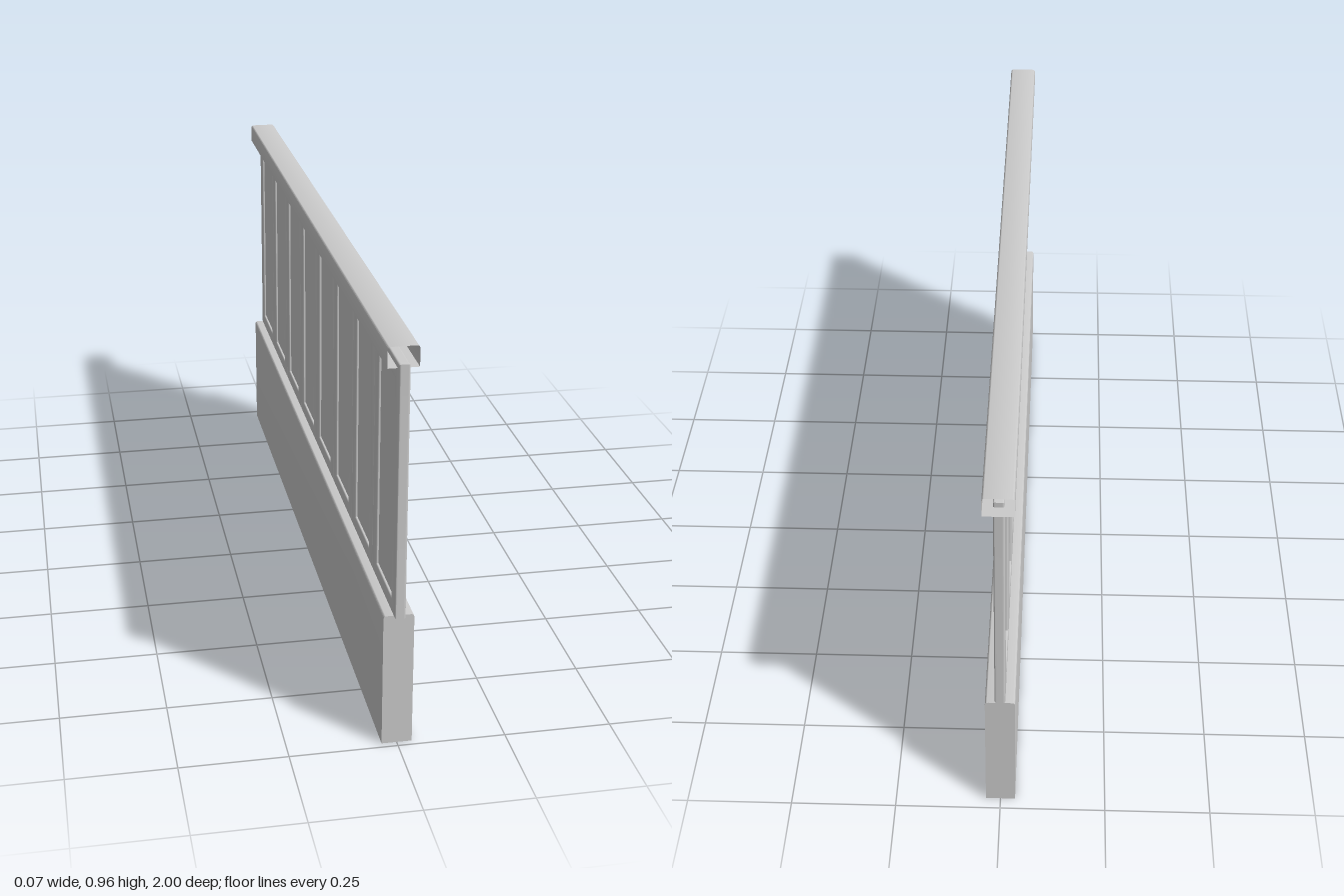
import * as THREE from 'three';
import { toCreasedNormals } from 'three/addons/utils/BufferGeometryUtils.js';

const material = new THREE.MeshStandardMaterial({ color: 0xcccccc });
const openMaterial = new THREE.MeshStandardMaterial({ color: 0xcccccc, side: THREE.DoubleSide });

// Upright profile with square bottom corners and rounded top corners
function roundTopProfile(halfWidth, bottom, top, r) {
  const s = new THREE.Shape();
  s.moveTo(-halfWidth, bottom);
  s.lineTo(halfWidth, bottom);
  s.lineTo(halfWidth, top - r);
  s.quadraticCurveTo(halfWidth, top, halfWidth - r, top);
  s.lineTo(-halfWidth + r, top);
  s.quadraticCurveTo(-halfWidth, top, -halfWidth, top - r);
  s.closePath();
  return s;
}

// Run a profile along z between two positions, optionally without end faces
function run(name, profile, z0, z1, openEnds = false) {
  let geo = new THREE.ExtrudeGeometry(profile, { depth: z1 - z0, bevelEnabled: false, curveSegments: 5 });
  geo.translate(0, 0, z0);
  if (openEnds) {
    const { start, count } = geo.groups[1];
    const sides = new THREE.BufferGeometry();
    const p = geo.attributes.position.array.slice(start * 3, (start + count) * 3);
    sides.setAttribute('position', new THREE.BufferAttribute(p, 3));
    geo = sides;
  }
  geo.clearGroups();
  const mesh = new THREE.Mesh(toCreasedNormals(geo, 0.6), openEnds ? openMaterial : material);
  mesh.name = name;
  return mesh;
}

function rectangle(path, x0, y0, x1, y1) {
  path.moveTo(x0, y0);
  path.lineTo(x1, y0);
  path.lineTo(x1, y1);
  path.lineTo(x0, y1);
  path.closePath();
  return path;
}

// Framed panel recessed on both faces, with softly bevelled edges
function makePanelGeometry(width, height, thickness) {
  const bevel = 0.005, sideMargin = 0.043;
  const shape = rectangle(new THREE.Shape(), -width / 2, 0, width / 2, height);
  shape.holes.push(rectangle(new THREE.Path(), -width / 2 + sideMargin, 0.035, width / 2 - sideMargin, height - 0.045));
  const depth = thickness - 2 * bevel;
  const geo = new THREE.ExtrudeGeometry(shape, {
    depth, bevelThickness: bevel, bevelSize: bevel, bevelOffset: -bevel, bevelSegments: 3,
  });
  geo.translate(0, 0, -depth / 2);
  geo.rotateY(-Math.PI / 2);
  geo.clearGroups();
  return toCreasedNormals(geo, 0.6);
}

export function createModel() {
  const model = new THREE.Group();
  model.name = 'panelledBarrier';

  // Solid base and hollow cap rail with open ends
  model.add(run('base', roundTopProfile(0.035, 0, 0.327, 0.008), -0.97, 0.985));
  model.add(run('capRail', roundTopProfile(0.035, 0.912, 0.96, 0.008), -1, 0.985, true));

  // Row of eight identical panels
  const count = 8, zStart = -0.97, zEnd = 1, bottom = 0.325, height = 0.6;
  const pitch = (zEnd - zStart) / count;
  const frameGeo = makePanelGeometry(pitch, height, 0.025);
  const fieldGeo = new THREE.BoxGeometry(0.013, height - 0.06, pitch - 0.07);
  for (let i = 0; i < count; i++) {
    const panel = new THREE.Group();
    panel.name = `panel${i + 1}`;
    const frame = new THREE.Mesh(frameGeo, material);
    frame.name = 'panelFrame';
    const field = new THREE.Mesh(fieldGeo, material);
    field.name = 'recessedField';
    field.position.y = height / 2;
    panel.add(frame, field);
    panel.position.set(0, bottom, zStart + pitch * (i + 0.5));
    model.add(panel);
  }
  return model;
}
